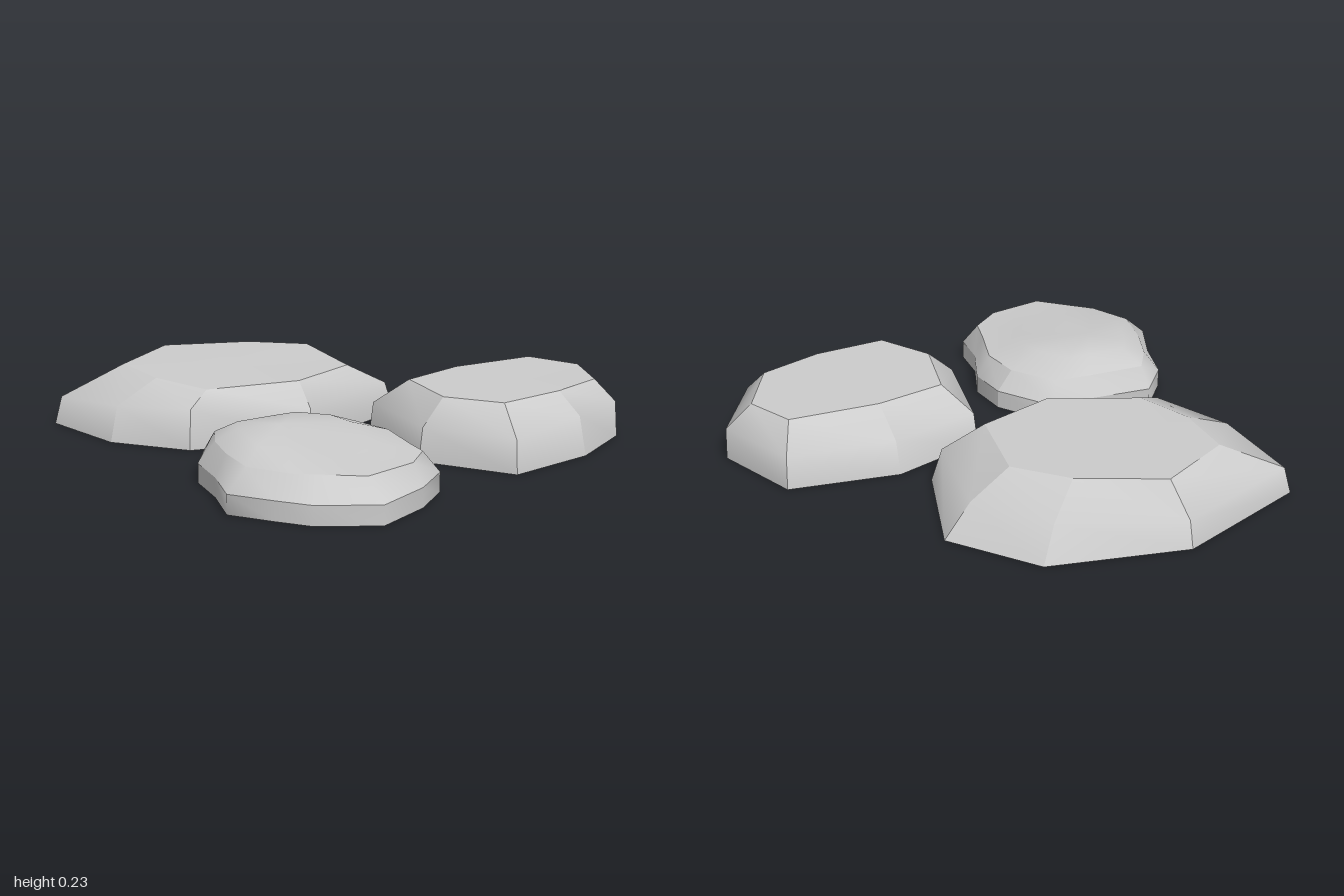
import * as THREE from 'three';
import { mergeGeometries } from 'three/addons/utils/BufferGeometryUtils.js';

const material = new THREE.MeshStandardMaterial({ color: 0xcccccc, side: THREE.DoubleSide });

// Smooth surface through rows of points, lowest row first
function grid(rows) {
  const cols = rows[0].length, index = [];
  for (let r = 0; r < rows.length - 1; r++) {
    for (let c = 0; c < cols - 1; c++) {
      const a = r * cols + c, b = a + 1, up = a + cols;
      index.push(a, up, up + 1, a, up + 1, b);
    }
  }
  return surface(rows.flat(), index);
}

// Smooth fan from a closed ring to a centre point
function fan(ring, centre) {
  const n = ring.length, index = [];
  for (let i = 0; i < n; i++) index.push(i, n, (i + 1) % n);
  return surface([...ring, centre], index);
}

function surface(points, index) {
  const g = new THREE.BufferGeometry();
  g.setAttribute('position', new THREE.Float32BufferAttribute(points.flat(), 3));
  g.setIndex(index);
  g.computeVertexNormals();
  return g;
}

const closed = (ring) => [...ring, ring[0]];

function stone(name, parts) {
  const mesh = new THREE.Mesh(mergeGeometries(parts), material);
  mesh.name = name;
  return mesh;
}

// Faceted stone: each corner is [baseX, baseZ, rimX, rimZ, rimY, shoulder inset 0..1, shoulderY]
function facetedStone(name, corners, centre) {
  const base = corners.map(([x, z]) => [x, 0, z]);
  const rim = corners.map((c) => [c[2], c[4], c[3]]);
  const shoulder = corners.map(([x, z, rx, rz, , t, y]) => [x + (rx - x) * t, y, z + (rz - z) * t]);
  const sides = corners.map((_, i) => {
    const j = (i + 1) % corners.length;
    return grid([base, shoulder, rim].map((ring) => [ring[i], ring[j]]));
  });
  return stone(name, [...sides, fan(rim, centre)]);
}

// Low stone: upright wall, bevelled edge and a lopsided domed top
function domedStone(name, corners, peak) {
  const base = corners.map(([x, z]) => [x, 0, z]);
  const wall = corners.map(([x, z]) => [x, 0.075, z]);
  const rim = corners.map(([, , x, z]) => [x, 0.155, z]);
  const crown = rim.map(([x, , z]) => {
    const cx = x + (peak[0] - x) * 0.35, cz = z + (peak[2] - z) * 0.35;
    return [cx, THREE.MathUtils.clamp(0.235 - 0.13 * Math.max(0, cx - 0.2), 0.165, 0.205), cz];
  });
  const dome = surface([...rim, ...crown, peak], rim.flatMap((_, i) => {
    const n = rim.length, j = (i + 1) % n;
    return [i, n + i, n + j, i, n + j, j, n + i, 2 * n, n + j];
  }));
  return stone(name, [grid([closed(base), closed(wall)]), grid([closed(wall), closed(rim)]), dome]);
}

export function createModel() {
  const group = new THREE.Group();
  group.name = 'steppingStones';

  group.add(facetedStone('largeStone', [
    [-0.47, -0.59, -0.47, -0.31, 0.23, 0.4, 0.13],
    [-0.04, -0.40, -0.11, -0.20, 0.22, 0.2, 0.13],
    [0.05, 0.15, -0.05, 0.12, 0.22, 0.03, 0.13],
    [-0.17, 0.58, -0.22, 0.45, 0.21, 0.08, 0.16],
    [-0.47, 0.73, -0.47, 0.50, 0.22, 0.15, 0.14],
    [-0.85, 0.72, -0.73, 0.46, 0.225, 0.1, 0.11],
    [-1.00, 0.15, -0.86, 0.14, 0.23, 0.15, 0.11],
    [-0.82, -0.38, -0.67, -0.16, 0.23, 0.35, 0.13],
  ], [-0.46, 0.225, 0.1]));

  group.add(facetedStone('mediumStone', [
    [0.54, -1.00, 0.52, -0.89, 0.22, 0.03, 0.13],
    [0.82, -0.78, 0.74, -0.73, 0.225, 0.1, 0.14],
    [0.92, -0.47, 0.78, -0.47, 0.23, 0.25, 0.15],
    [0.91, -0.09, 0.76, -0.18, 0.23, 0.08, 0.13],
    [0.54, 0.05, 0.54, -0.08, 0.23, 0.15, 0.13],
    [0.13, -0.09, 0.26, -0.18, 0.23, 0.1, 0.13],
    [0.06, -0.48, 0.24, -0.47, 0.23, 0.2, 0.13],
    [0.18, -0.91, 0.31, -0.83, 0.225, 0.12, 0.13],
  ], [0.52, 0.23, -0.47]));

  // Each corner is [baseX, baseZ, rimX, rimZ]
  group.add(domedStone('smallStone', [
    [0.36, 0.145, 0.36, 0.21], [0.53, 0.145, 0.53, 0.205], [0.71, 0.24, 0.71, 0.28],
    [0.86, 0.27, 0.82, 0.32], [0.95, 0.45, 0.90, 0.45], [1.00, 0.69, 0.91, 0.68],
    [0.84, 0.87, 0.78, 0.79], [0.71, 0.93, 0.71, 0.85], [0.54, 1.00, 0.54, 0.91],
    [0.36, 0.90, 0.36, 0.85], [0.18, 0.83, 0.22, 0.78], [0.05, 0.69, 0.11, 0.69],
    [0.10, 0.45, 0.15, 0.45], [0.12, 0.27, 0.18, 0.31],
  ], [0.38, 0.22, 0.6]));

  return group;
}
